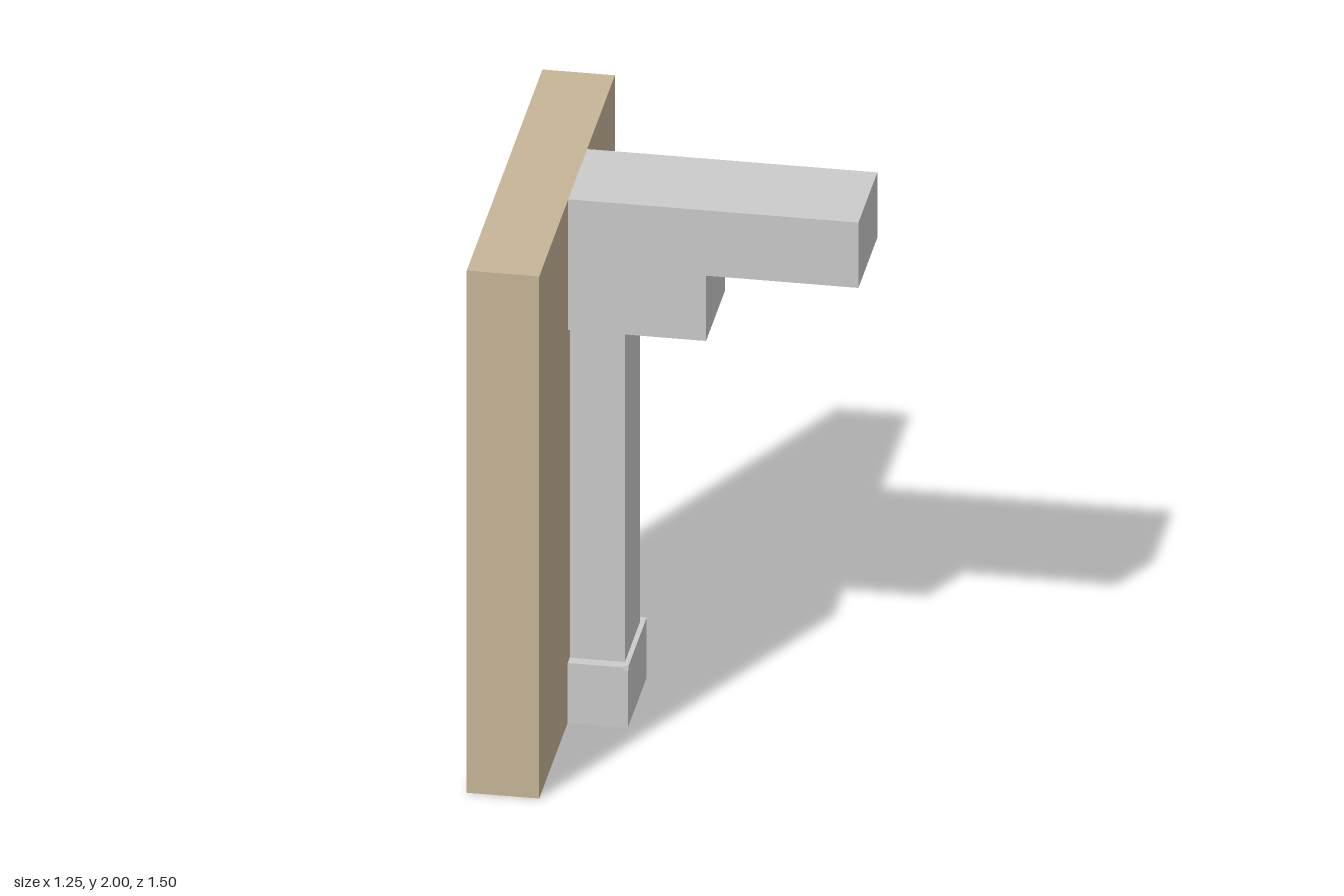
import * as THREE from 'three';
import { ConvexGeometry } from 'three/addons/geometries/ConvexGeometry.js';

export function createModel() {
  const group = new THREE.Group();
  const grey = new THREE.MeshStandardMaterial({ color: 0xcccccc, flatShading: true });
  const tan = new THREE.MeshStandardMaterial({ color: 0xc8b598, flatShading: true });

  const add = (name, geometry, material) => {
    const mesh = new THREE.Mesh(geometry, material);
    mesh.name = name;
    group.add(mesh);
  };

  // Box given by its lower and upper limits on each axis
  const box = (name, [x0, x1], [y0, y1], [z0, z1], material) => {
    const g = new THREE.BoxGeometry(x1 - x0, y1 - y0, z1 - z0);
    g.translate((x0 + x1) / 2, (y0 + y1) / 2, (z0 + z1) / 2);
    add(name, g, material);
  };

  // Wall slab, with the grey inlays standing a hair proud of it
  box('wall', [-0.625, -0.375], [0.001, 2], [-0.75, 0.75], tan);
  box('backInlay', [-0.626, -0.5], [0, 1.34], [-0.15, 0.145], grey);
  box('solePlate', [-0.624, -0.376], [0, 0.02], [-0.749, 0.185], grey);

  // Pilaster shaft
  box('post', [-0.38, -0.185], [0.2, 1.51], [-0.15, 0.145], grey);

  // Base block with its outer front top corner clipped
  const [x0, x1, h, z0, z1, cut] = [-0.38, -0.168, 0.23, -0.19, 0.185, 0.022];
  const corners = [
    [x0, 0, z0], [x1, 0, z0], [x0, 0, z1], [x1, 0, z1],
    [x0, h, z0], [x1, h, z0], [x0, h, z1],
    [x1 - cut, h, z1], [x1, h - cut, z1], [x1, h, z1 - cut],
  ].map((p) => new THREE.Vector3(...p));
  add('base', new ConvexGeometry(corners), grey);

  // Stepped bracket arm
  const profile = new THREE.Shape([
    [-0.375, 1.5], [0.1, 1.5], [0.1, 1.75], [0.625, 1.75], [0.625, 2], [-0.375, 2],
  ].map((p) => new THREE.Vector2(...p)));
  const arm = new THREE.ExtrudeGeometry(profile, { depth: 0.375, bevelEnabled: false });
  arm.translate(0, 0, -0.2);
  add('bracketArm', arm, grey);

  return group;
}
